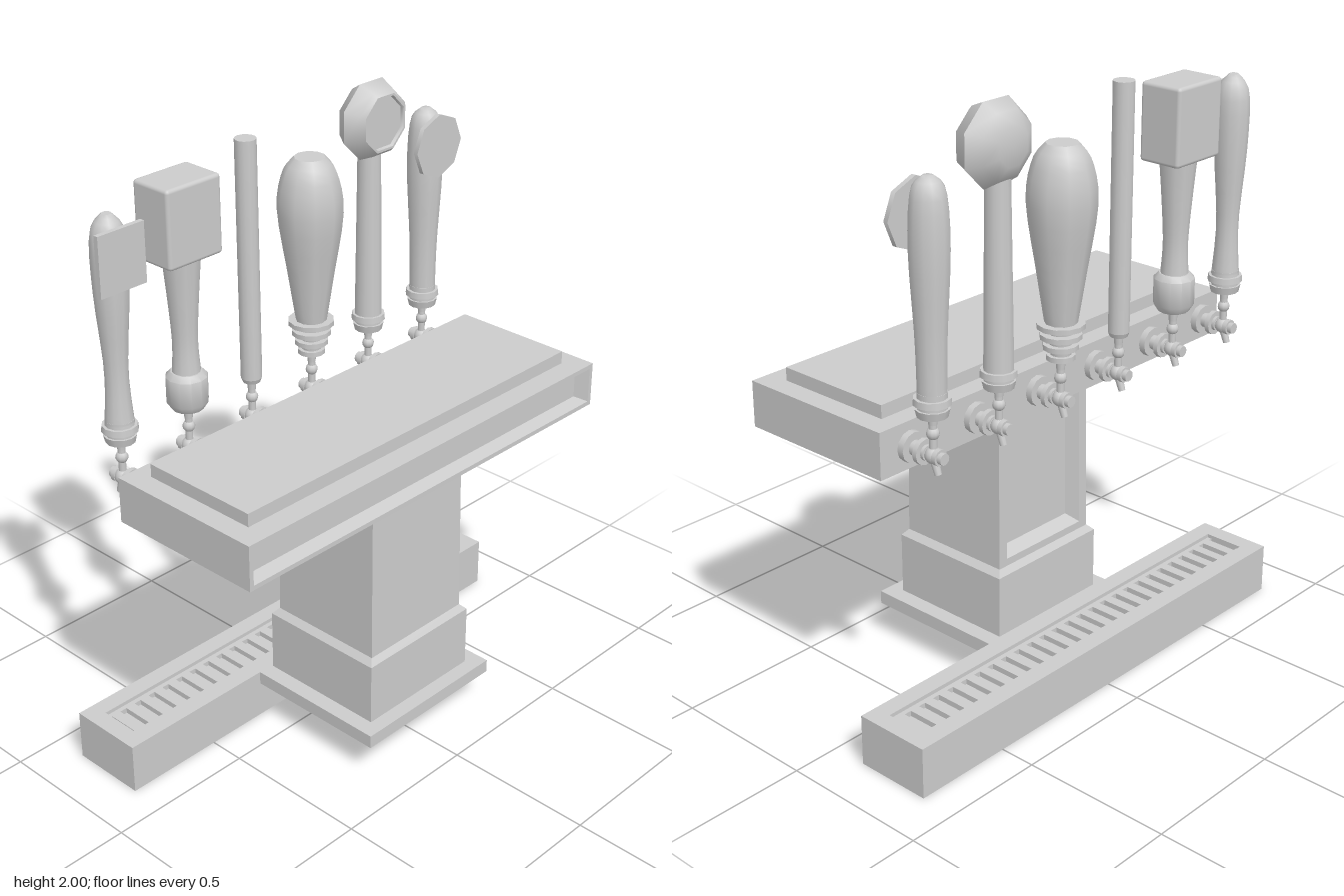
import * as THREE from 'three';
import { toCreasedNormals } from 'three/addons/utils/BufferGeometryUtils.js';
import { RoundedBoxGeometry } from 'three/addons/geometries/RoundedBoxGeometry.js';

const grey = new THREE.MeshStandardMaterial({ color: 0xcccccc });

function add(parent, name, geometry, x = 0, y = 0, z = 0) {
  const mesh = new THREE.Mesh(geometry, grey);
  mesh.name = name;
  mesh.position.set(x, y, z);
  parent.add(mesh);
}

function namedGroup(name) {
  const group = new THREE.Group();
  group.name = name;
  return group;
}

const box = (w, h, d) => new THREE.BoxGeometry(w, h, d);
const drum = (r0, r1, h, sides = 12) => new THREE.CylinderGeometry(r1, r0, h, sides);
const toVectors = (pairs) => pairs.map(([r, y]) => new THREE.Vector2(r, y));

// Closed turned shape from a profile running upward
function turned(points, sides = 12, start = 0) {
  const bottom = new THREE.Vector2(0, points[0].y);
  const top = new THREE.Vector2(0, points.at(-1).y);
  return toCreasedNormals(new THREE.LatheGeometry([bottom, ...points, top], sides, start), 0.82);
}

// Turned shape whose outline flows smoothly through a few [radius, height] pairs
const turnedCurve = (pairs, sides) => turned(new THREE.SplineCurve(toVectors(pairs)).getPoints(14), sides);

// Closed loft along +z through rectangles [halfWidth, halfHeight, z];
// rectangles that step inward and back make a recess
function rectLoft(rings) {
  const loops = rings.map(([w, h, z]) => [[-w, -h, z], [w, -h, z], [w, h, z], [-w, h, z]]);
  const pos = [];
  const quad = (a, b, c, d) => pos.push(...a, ...b, ...c, ...a, ...c, ...d);
  for (let i = 0; i < loops.length - 1; i++) {
    for (let k = 0; k < 4; k++) {
      const n = (k + 1) % 4;
      quad(loops[i][k], loops[i][n], loops[i + 1][n], loops[i + 1][k]);
    }
  }
  quad(...[...loops[0]].reverse());
  quad(...loops.at(-1));
  const geo = new THREE.BufferGeometry();
  geo.setAttribute('position', new THREE.Float32BufferAttribute(pos, 3));
  geo.computeVertexNormals();
  return geo;
}

function dripTray() {
  const tray = namedGroup('dripTray');
  const body = rectLoft([[0.84, 0.13, 0], [0.84, 0.13, 0.17], [0.78, 0.07, 0.17], [0.78, 0.07, 0.13]]);
  add(tray, 'trayBody', body.rotateX(-Math.PI / 2));
  for (let i = 0; i < 26; i++) {
    add(tray, 'grateSlat', box(0.034, 0.018, 0.14), -0.75 + i * 0.06, 0.148);
  }
  for (const side of [-1, 1]) add(tray, 'grateRail', box(1.56, 0.018, 0.016), 0, 0.148, side * 0.062);
  tray.position.z = -0.25;
  return tray;
}

function pedestal() {
  const group = namedGroup('pedestal');
  add(group, 'basePlate', box(0.57, 0.045, 0.5), 0, 0.1475, 0.022);
  const plinth = rectLoft([[0.23, 0.222, 0.17], [0.23, 0.222, 0.38], [0.21, 0.205, 0.4]]);
  add(group, 'plinth', plinth.rotateX(-Math.PI / 2));
  // Column with a recessed panel in its back, tapering slightly upward
  const column = rectLoft([
    [0.21, 0.28, -0.205], [0.21, 0.28, 0.205], [0.175, 0.25, 0.205], [0.15, 0.225, 0.165],
  ]).rotateY(Math.PI);
  const p = column.attributes.position;
  for (let i = 0; i < p.count; i++) {
    const s = 1 - 0.03 * (p.getY(i) / 0.56 + 0.5);
    p.setXYZ(i, p.getX(i) * s, p.getY(i), p.getZ(i) * s);
  }
  column.computeVertexNormals();
  add(group, 'column', column, 0, 0.675);
  group.position.z = 0.108;
  return group;
}

function head() {
  const group = namedGroup('head');
  add(group, 'headBar', rectLoft([
    [0.78, 0.075, -0.175], [0.78, 0.075, 0.375], [0.765, 0.06, 0.375], [0.74, 0.046, 0.335],
  ]), 0, 1.022);
  add(group, 'topSlab', box(1.42, 0.045, 0.41), 0, 1.1175, 0.095);
  return group;
}

// Shank, valve and spout, with the handle axis at x = z = 0
function faucet() {
  const group = namedGroup('faucet');
  const alongZ = (name, r, length, z) =>
    add(group, name, drum(r, r, length).rotateX(Math.PI / 2), 0, 1.022, z);
  alongZ('wallFlange', 0.048, 0.022, 0.086);
  alongZ('shank', 0.024, 0.08, 0.06);
  alongZ('couplingNut', 0.04, 0.016, 0.038);
  alongZ('valveBarrel', 0.018, 0.09, 0);
  alongZ('valveCap', 0.025, 0.016, -0.022);
  add(group, 'valveBall', new THREE.SphereGeometry(0.026, 12, 8), 0, 1.022);
  add(group, 'lever', drum(0.012, 0.012, 0.15, 10), 0, 1.095);
  add(group, 'leverBall', new THREE.SphereGeometry(0.02, 10, 8), 0, 1.09);
  add(group, 'ferrule', drum(0.013, 0.017, 0.045, 10), 0, 1.14);
  add(group, 'spout', drum(0.011, 0.014, 0.06, 10).rotateX(0.35), 0, 0.994, -0.008);
  return group;
}

// Two beads and a waist at the foot of a turned handle
function collar(g) {
  add(g, 'collarFoot', drum(0.046, 0.052, 0.025), 0, 1.1575);
  add(g, 'collarWaist', drum(0.045, 0.045, 0.07), 0, 1.185);
  add(g, 'collarBead', drum(0.057, 0.055, 0.02), 0, 1.193);
}

function squareBadgeHandle(g) {
  collar(g);
  add(g, 'grip', turnedCurve([[0.046, 1.2], [0.036, 1.38], [0.053, 1.63], [0.052, 1.81], [0.015, 1.87]]));
  add(g, 'badge', box(0.17, 0.19, 0.016), 0, 1.745, 0.052);
}

function blockHandle(g) {
  add(g, 'foot', turned(toVectors([[0.05, 1.155], [0.066, 1.18], [0.066, 1.265], [0.05, 1.282]])));
  add(g, 'grip', turnedCurve([[0.046, 1.27], [0.04, 1.38], [0.049, 1.53], [0.061, 1.67]]));
  add(g, 'block', new RoundedBoxGeometry(0.21, 0.25, 0.15, 2, 0.012), 0, 1.78, -0.005);
}

function rodHandle(g) {
  add(g, 'rodFoot', drum(0.028, 0.034, 0.015, 14), 0, 1.1525);
  add(g, 'rod', drum(0.034, 0.034, 0.79, 14), 0, 1.555);
}

function bulbHandle(g) {
  add(g, 'neck', drum(0.03, 0.045, 0.14), 0, 1.215);
  for (let i = 0; i < 4; i++) {
    const r = 0.045 + i * 0.01;
    add(g, 'neckRing', drum(r, r, 0.016), 0, 1.16 + i * 0.034);
  }
  add(g, 'bulb', turnedCurve([[0.05, 1.265], [0.074, 1.42], [0.106, 1.64], [0.088, 1.765], [0.05, 1.82]], 10));
}

function paddleHandle(g) {
  collar(g);
  add(g, 'grip', drum(0.046, 0.038, 0.62), 0, 1.51);
  // Domed octagonal head with a recessed face
  const profile = toVectors([[0.06, -0.062], [0.105, -0.038], [0.134, 0.006], [0.112, 0.055],
    [0.098, 0.07], [0.09, 0.07], [0.086, 0.06]]);
  add(g, 'paddleHead', turned(profile, 8, Math.PI / 8).rotateX(Math.PI / 2), 0, 1.875);
}

function octagonBadgeHandle(g) {
  collar(g);
  add(g, 'grip', turnedCurve([[0.044, 1.2], [0.047, 1.38], [0.06, 1.64], [0.05, 1.8], [0.015, 1.845]]));
  add(g, 'badge', drum(0.108, 0.108, 0.016, 8).rotateX(Math.PI / 2), 0, 1.727, 0.054);
}

export function createModel() {
  const model = namedGroup('tapTower');
  model.add(dripTray(), pedestal(), head());
  // From the model's right to its left
  const handles = [squareBadgeHandle, blockHandle, rodHandle, bulbHandle, paddleHandle, octagonBadgeHandle];
  handles.forEach((build, i) => {
    const tap = namedGroup('tap');
    tap.position.set(-0.682 + i * 0.27, 0, -0.275);
    const handle = namedGroup(build.name);
    build(handle);
    tap.add(faucet(), handle);
    model.add(tap);
  });
  return model;
}
